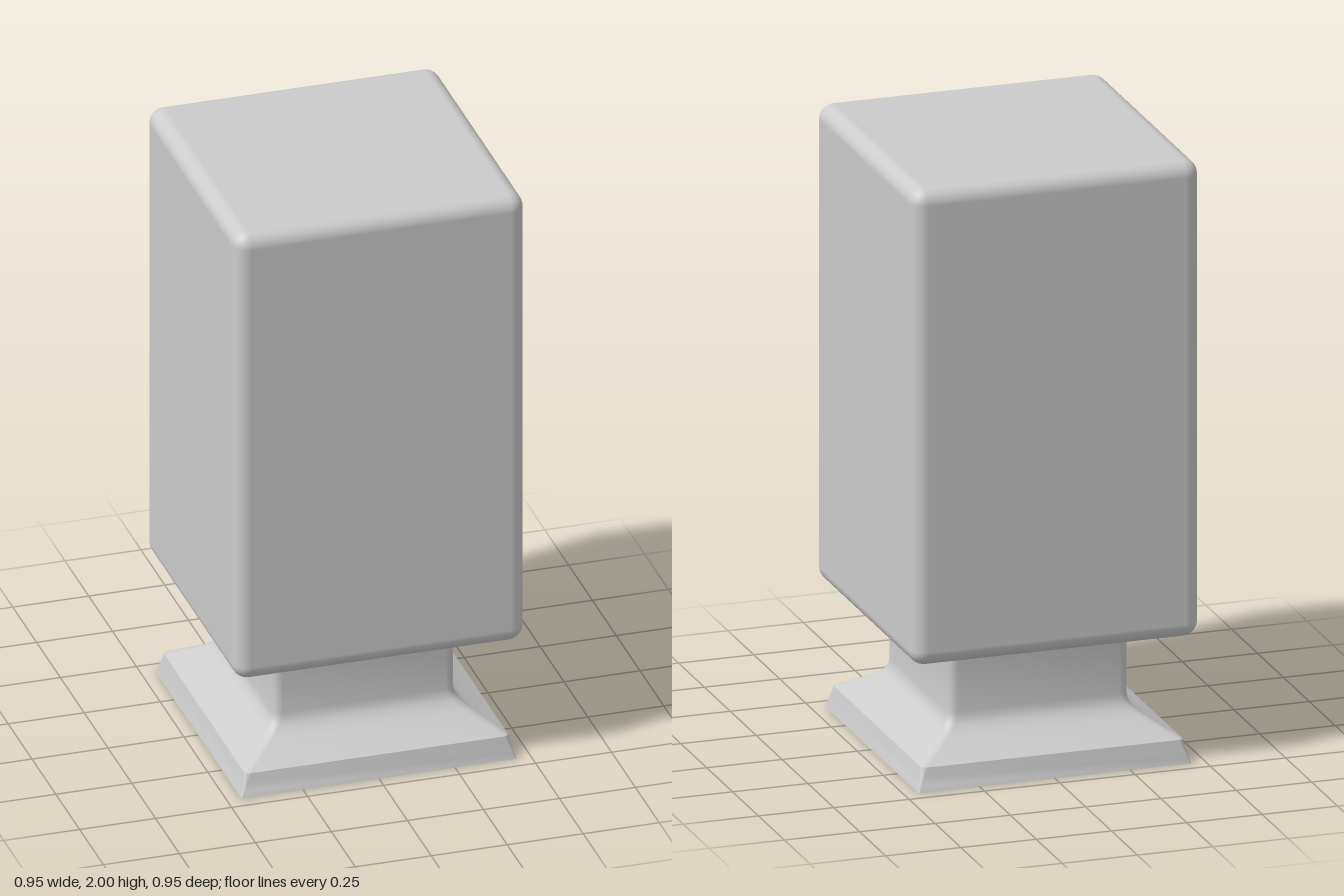
import * as THREE from 'three';
import { RoundedBoxGeometry } from 'three/addons/geometries/RoundedBoxGeometry.js';
import { toCreasedNormals } from 'three/addons/utils/BufferGeometryUtils.js';

const material = new THREE.MeshStandardMaterial({ color: 0xcccccc });
const ARC = 5; // segments per rounded corner

// Rounded square outline: half width w, corner radius r, at height y
function ring(w, y, r) {
  const points = [];
  for (let c = 0; c < 4; c++) {
    const mid = Math.PI / 4 + c * Math.PI / 2;
    const cx = Math.sign(Math.cos(mid)) * (w - r);
    const cz = Math.sign(Math.sin(mid)) * (w - r);
    for (let i = 0; i <= ARC; i++) {
      const a = (c + i / ARC) * Math.PI / 2;
      points.push([cx + r * Math.cos(a), y, cz + r * Math.sin(a)]);
    }
  }
  return points;
}

// Skin between stacked outlines, closed underneath
function loft(profile) {
  const rings = profile.map(([w, y, r]) => ring(w, y, r));
  const positions = [];
  const tri = (a, b, c) => positions.push(...a, ...b, ...c);
  const n = rings[0].length;
  for (let j = 0; j < n; j++) {
    const k = (j + 1) % n;
    for (let i = 0; i < rings.length - 1; i++) {
      const low = rings[i], high = rings[i + 1];
      tri(low[j], high[j], high[k]);
      tri(low[j], high[k], low[k]);
    }
    tri([0, profile[0][1], 0], rings[0][j], rings[0][k]);
  }
  const geometry = new THREE.BufferGeometry();
  geometry.setAttribute('position', new THREE.Float32BufferAttribute(positions, 3));
  return toCreasedNormals(geometry, THREE.MathUtils.degToRad(35));
}

export function createModel() {
  const group = new THREE.Group();

  // Tall block with softened edges
  const block = new THREE.Mesh(new RoundedBoxGeometry(0.955, 1.58, 0.955, 5, 0.05), material);
  block.name = 'block';
  block.position.y = 1.21;
  group.add(block);

  // Flared foot, sloping shoulder, narrow neck and fillet under the block
  const profile = [
    [0.453, 0, 0.004], [0.447, 0.02, 0.006], [0.441, 0.045, 0.012], [0.434, 0.075, 0.018],
    [0.345, 0.13, 0.025], [0.325, 0.146, 0.027], [0.31, 0.163, 0.029], [0.302, 0.18, 0.03],
    [0.299, 0.2, 0.03], [0.299, 0.38, 0.03], [0.302, 0.396, 0.033], [0.309, 0.408, 0.04],
    [0.321, 0.417, 0.052], [0.34, 0.422, 0.07],
  ];
  const pedestal = new THREE.Mesh(loft(profile), material);
  pedestal.name = 'pedestal';
  group.add(pedestal);

  return group;
}
